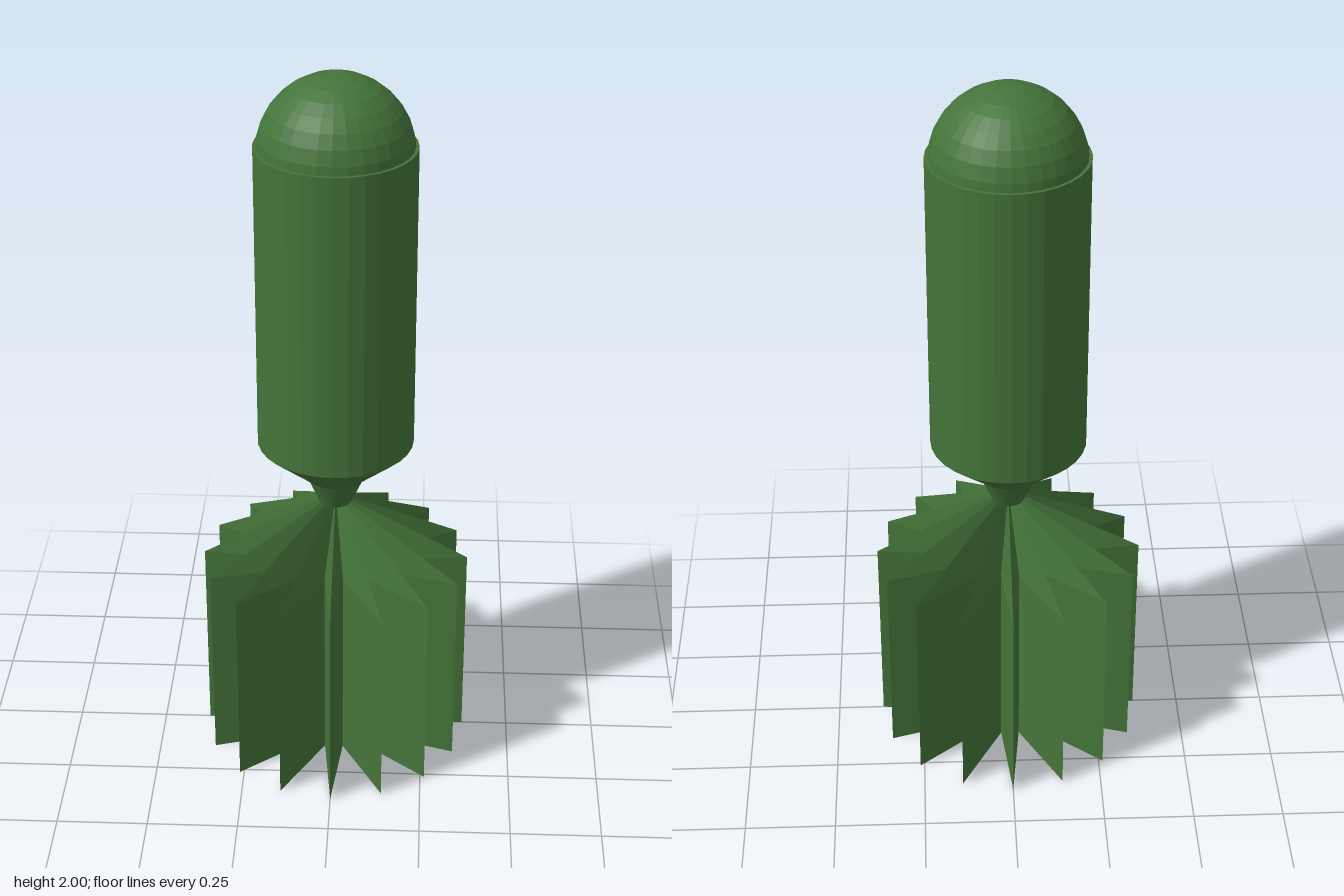
import * as THREE from 'three';

const FINS = 16;

// Star-shaped ring of points; scale shrinks the whole star
function starRing(y, scale) {
  const ring = [];
  for (let i = 0; i < FINS * 2; i++) {
    const a = (i / (FINS * 2)) * Math.PI * 2;
    const r = (i % 2 ? 0.131 : 0.37) * scale;
    ring.push([Math.sin(a) * r, y, Math.cos(a) * r]);
  }
  return ring;
}

// Skin a list of rings (bottom to top) and close both ends
function loft(rings) {
  const pos = [];
  const n = rings[0].length;
  const tri = (...pts) => pts.forEach((p) => pos.push(...p));
  const low = rings[0], top = rings[rings.length - 1];
  for (let i = 0; i < n; i++) {
    const j = (i + 1) % n;
    for (let k = 0; k < rings.length - 1; k++) {
      const a = rings[k], b = rings[k + 1];
      tri(a[i], a[j], b[j]);
      tri(a[i], b[j], b[i]);
    }
    tri([0, low[0][1], 0], low[j], low[i]);
    tri([0, top[0][1], 0], top[i], top[j]);
  }
  const geo = new THREE.BufferGeometry();
  geo.setAttribute('position', new THREE.Float32BufferAttribute(pos, 3));
  geo.computeVertexNormals();
  return geo;
}

export function createModel() {
  const group = new THREE.Group();
  const green = new THREE.MeshStandardMaterial({ color: 0x44743a, flatShading: true });
  const add = (name, geo, y = 0, z = 0) => {
    const mesh = new THREE.Mesh(geo, green);
    mesh.name = name;
    mesh.position.set(0, y, z);
    group.add(mesh);
  };

  // Finned tail: straight star prism tapering to a point under the neck
  add('finnedTail', loft([starRing(0, 1), starRing(0.575, 1), starRing(0.755, 0.12)]));

  // Neck, flared shoulder and cylindrical body
  const profile = [[0, 0.755], [0.045, 0.755], [0.08, 0.835], [0.214, 0.95], [0.214, 1.81], [0, 1.81]];
  add('body', new THREE.LatheGeometry(profile.map(([r, y]) => new THREE.Vector2(r, y)), 32), 0, -0.003);

  // Rounded nose
  add('nose', new THREE.SphereGeometry(0.207, 32, 8, 0, Math.PI * 2, 0, Math.PI / 2), 1.793, -0.003);

  return group;
}
